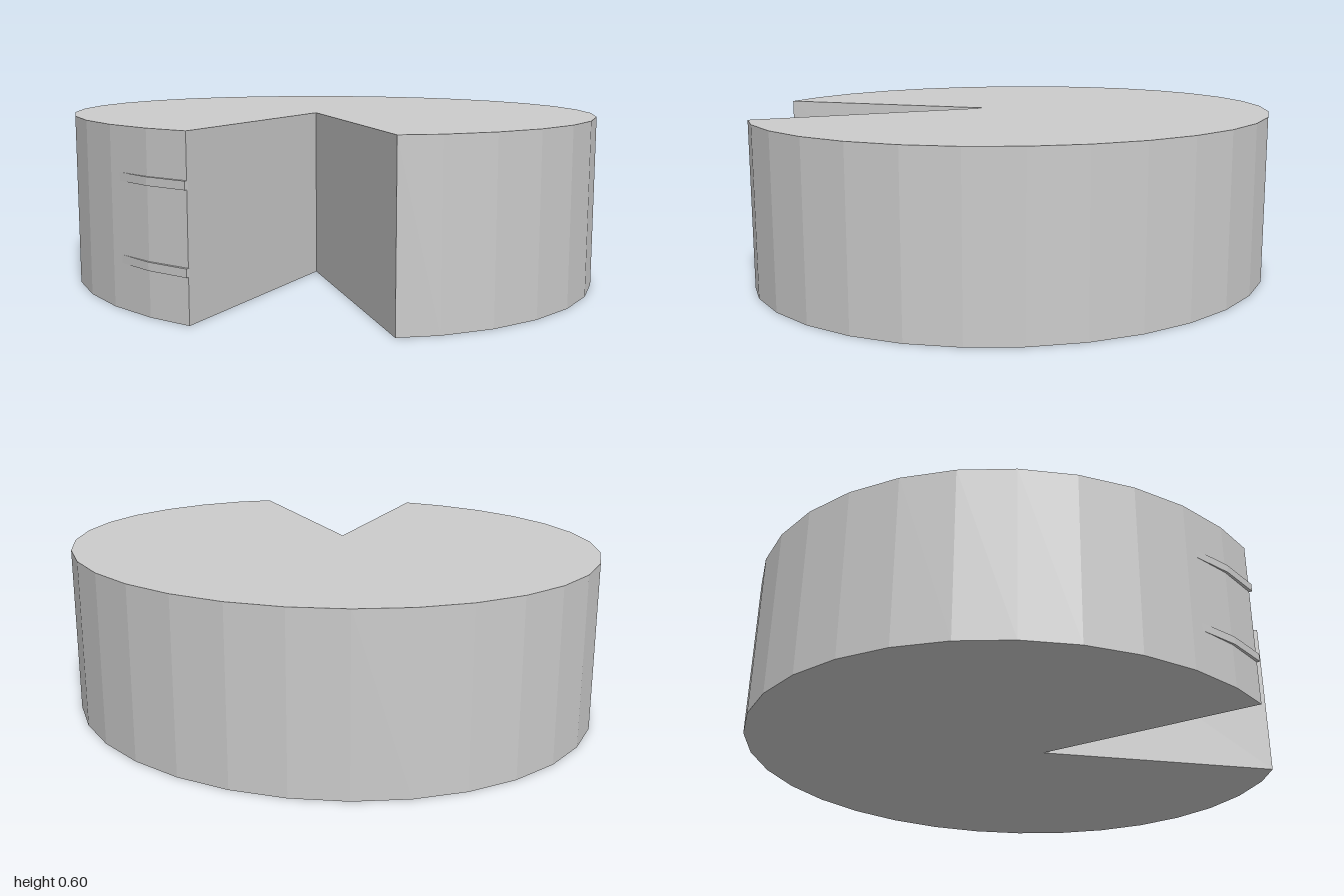
import * as THREE from 'three';

const material = new THREE.MeshStandardMaterial({ color: 0xcccccc, flatShading: true });

// Extrudes an outline of [x, z] points upwards from y to y + height
function slab(name, points, y, height) {
  const shape = new THREE.Shape(points.map(([x, z]) => new THREE.Vector2(x, -z)));
  const geometry = new THREE.ExtrudeGeometry(shape, { depth: height, bevelEnabled: false });
  geometry.rotateX(-Math.PI / 2).translate(0, y, 0);
  const mesh = new THREE.Mesh(geometry, material);
  mesh.name = name;
  return mesh;
}

// Point k of the 32-sided, slightly oval rim, counted from the front
const rim = (k) => {
  const a = (k * Math.PI) / 16;
  return [Math.sin(a), 0.927 * Math.cos(a) - 0.003];
};

export function createModel() {
  const group = new THREE.Group();
  group.name = 'wheelWithWedgeCut';

  // Wheel with a wedge missing: apex, first lip, rim, second lip
  const outline = [[0.04, 0.1], [0.355, 0.864]];
  for (let k = 1; k >= -26; k--) outline.push(rim(k));
  outline.push([0.853, 0.47]);
  group.add(slab('wheel', outline, 0, 0.6));

  // Two thin bands that emerge from the rim next to the cut
  const band = [[0.04, 0.92], [0.2, 0.913], [0.359, 0.874], [0.355, 0.86], [0.195, 0.89]];
  [0.153, 0.422].forEach((y, i) => group.add(slab(i ? 'upperBand' : 'lowerBand', band, y, 0.028)));

  return group;
}
